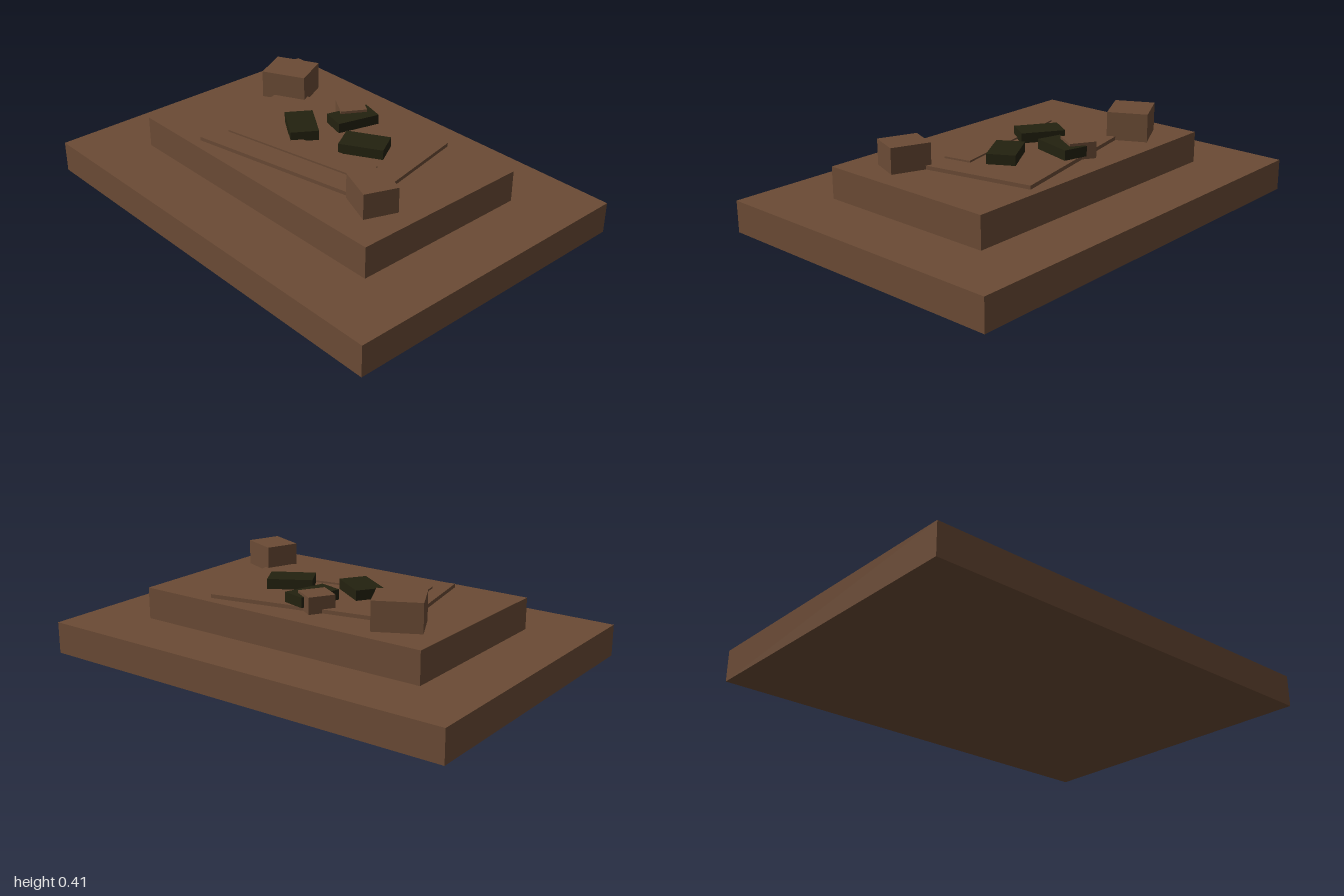
import * as THREE from 'three';

export function createModel() {
  const model = new THREE.Group();
  const brown = new THREE.MeshStandardMaterial({ color: 0x6b4b35 });
  brown.name = 'earthBrown';
  const dark = new THREE.MeshStandardMaterial({ color: 0x23210f });
  dark.name = 'darkOlive';

  // Box spanning heights y0..y1, turned about the vertical by turn degrees
  function block(name, material, [w, d], [y0, y1], [x, z], turn = 0) {
    const mesh = new THREE.Mesh(new THREE.BoxGeometry(w, y1 - y0, d), material);
    mesh.name = name;
    mesh.position.set(x, (y0 + y1) / 2, z);
    mesh.rotation.y = THREE.MathUtils.degToRad(turn);
    model.add(mesh);
  }

  // Stepped platform
  block('baseSlab', brown, [2, 1.429], [0, 0.143], [0, 0]);
  block('upperTier', brown, [1.429, 0.857], [0.143, 0.286], [0, 0]);

  // Thin skewed floor and raised strip
  block('floorPlate', brown, [0.9, 0.6], [0.286, 0.303], [0, 0], 11.5);
  block('raisedStrip', brown, [0.712, 0.126], [0.286, 0.311], [-0.003, 0.128], 11.5);

  // Loose stone blocks
  block('backLeftBlock', brown, [0.21, 0.182], [0.286, 0.414], [-0.487, -0.229], 27);
  block('frontRightBlock', brown, [0.178, 0.152], [0.286, 0.4], [0.513, 0.2], -21);
  block('smallBlock', brown, [0.12, 0.12], [0.286, 0.36], [-0.087, -0.246], -31);

  // Dark rubble slabs
  const slabs = [
    [[-0.131, 0.012], -33],
    [[0.184, -0.072], 30],
    [[-0.03, -0.203], 75],
  ];
  slabs.forEach(([at, turn], i) =>
    block(`darkSlab${i + 1}`, dark, [0.2, i === 2 ? 0.114 : 0.126], [0.303, 0.348], at, turn));

  return model;
}
